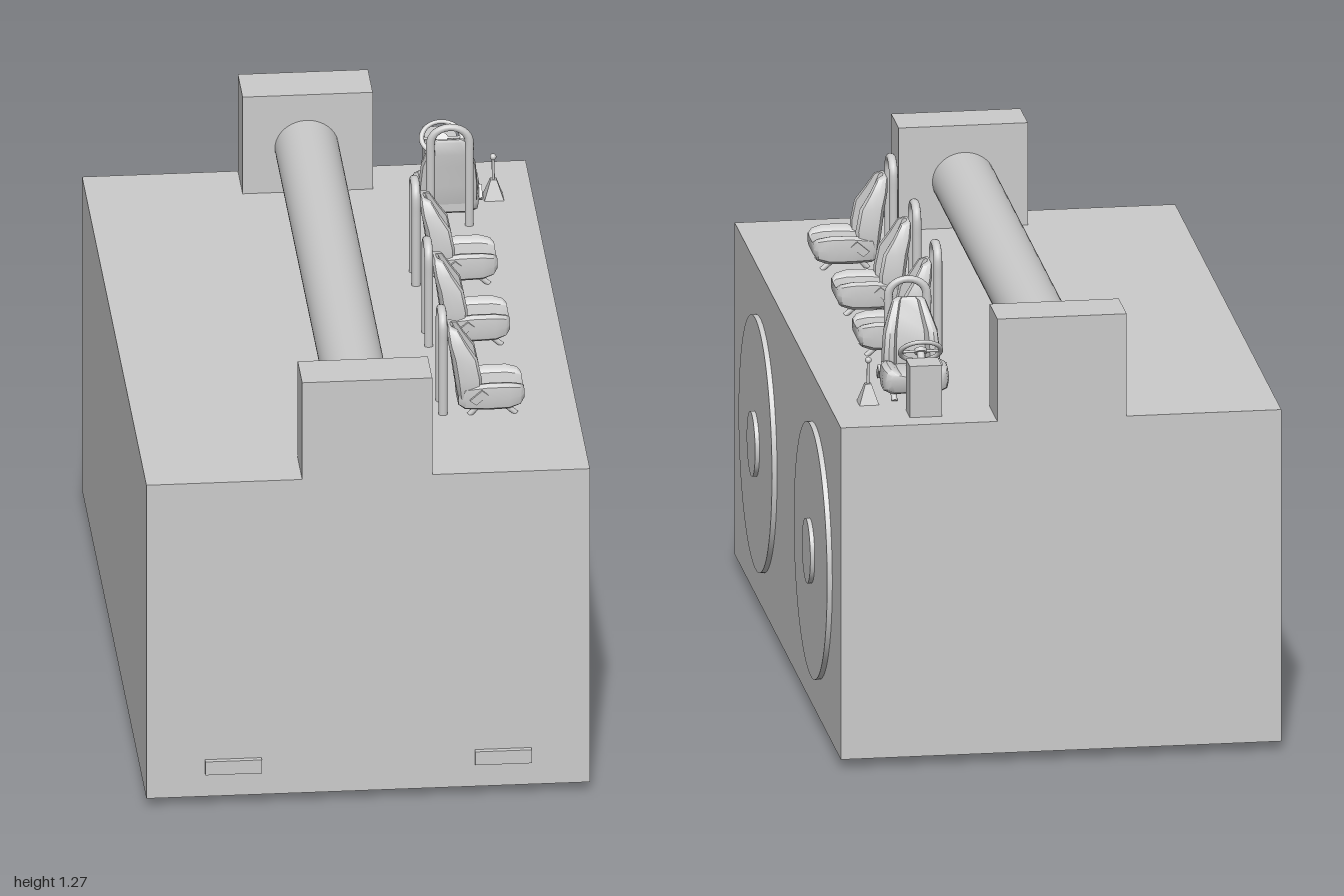
import * as THREE from 'three';
import { toCreasedNormals } from 'three/addons/utils/BufferGeometryUtils.js';

const mat = new THREE.MeshStandardMaterial({ color: 0xcccccc });
const FLOOR = 0.965; // deck height

function add(parent, name, geo, x = 0, y = 0, z = 0) {
  const m = new THREE.Mesh(geo, mat);
  m.name = name;
  m.position.set(x, y, z);
  parent.add(m);
  return m;
}

// Box given by its limits on each axis
function box(parent, name, [x0, x1], [y0, y1], [z0, z1]) {
  return add(parent, name, new THREE.BoxGeometry(x1 - x0, y1 - y0, z1 - z0),
    (x0 + x1) / 2, (y0 + y1) / 2, (z0 + z1) / 2);
}

// Closed skin over a list of rings, wound so that it faces outward
function loft(rings) {
  const n = rings[0].length;
  const pts = rings.flat();
  const tris = [];
  for (let r = 0; r < rings.length - 1; r++) {
    for (let i = 0; i < n; i++) {
      const a = r * n + i, b = r * n + (i + 1) % n;
      tris.push([a, b, b + n], [a, b + n, a + n]);
    }
  }
  [rings[0], rings[rings.length - 1]].forEach((ring, end) => {
    const c = ring.reduce((s, p) => s.add(p), new THREE.Vector3()).divideScalar(n);
    const start = end ? (rings.length - 1) * n : 0;
    for (let i = 0; i < n; i++) {
      const a = start + i, b = start + (i + 1) % n;
      tris.push(end ? [a, b, pts.length] : [b, a, pts.length]);
    }
    pts.push(c);
  });
  const mid = rings.flat().reduce((s, p) => s.add(p), new THREE.Vector3()).divideScalar(n * rings.length);
  const rel = pts.map(p => p.clone().sub(mid));
  const volume = tris.reduce((s, [a, b, c]) => s + rel[a].dot(rel[b].clone().cross(rel[c])), 0);
  if (volume < 0) tris.forEach(t => t.reverse());
  const geo = new THREE.BufferGeometry().setFromPoints(pts);
  geo.setIndex(tris.flat());
  return toCreasedNormals(geo, 0.7);
}

// Padded cross-section with side bolsters: [across, depth], dip is the middle's depth
function padSection(dip) {
  const half = [[0.7, 0], [0.95, 0.15], [1, 0.5], [0.95, 0.9], [0.8, 1], [0.62, 0.95], [0.5, dip]];
  return [...half, ...half.map(([s, d]) => [-s, d]).reverse()];
}

// Round bar between two points
function rod(parent, name, a, b, r) {
  const path = new THREE.LineCurve3(new THREE.Vector3(...a), new THREE.Vector3(...b));
  const p = path.getPoint(0.5);
  const m = add(parent, name, new THREE.CylinderGeometry(r, r, path.getLength(), 12), p.x, p.y, p.z);
  m.quaternion.setFromUnitVectors(new THREE.Vector3(0, 1, 0), path.getTangent(0));
  return m;
}

// Bucket seat facing +x, with its hoop at x = 0
function createSeat() {
  const seat = new THREE.Group();
  seat.name = 'seat';
  const backRows = [ // y, rear x, front x, half width
    [1.215, 0.014, 0.022, 0.028], [1.208, 0.011, 0.036, 0.038], [1.17, 0.013, 0.055, 0.05],
    [1.13, 0.02, 0.078, 0.062], [1.07, 0.027, 0.088, 0.067], [1.02, 0.033, 0.085, 0.067],
    [0.985, 0.043, 0.075, 0.056]];
  add(seat, 'backrest', loft(backRows.map(([y, x0, x1, w]) =>
    padSection(0.6).map(([s, d]) => new THREE.Vector3(x0 + (x1 - x0) * d, y, s * w)))));
  const cushionRows = [ // x, bottom y, top y, half width
    [0.035, 0.99, 1.03, 0.055], [0.05, 0.98, 1.05, 0.07], [0.1, 0.978, 1.06, 0.077],
    [0.15, 0.98, 1.06, 0.077], [0.175, 0.99, 1.053, 0.071], [0.184, 1.008, 1.042, 0.06]];
  add(seat, 'cushion', loft(cushionRows.map(([x, y0, y1, w]) =>
    padSection(0.82).map(([s, d]) => new THREE.Vector3(x, y0 + (y1 - y0) * d, s * w)))));

  // Grab hoop behind the backrest
  const pts = [[-0.044, FLOOR], [-0.044, 1.08], [-0.044, 1.17]];
  for (let i = 0; i <= 8; i++) {
    const a = Math.PI * (1 - i / 8);
    pts.push([0.044 * Math.cos(a), 1.216 + 0.044 * Math.sin(a)]);
  }
  pts.push([0.044, 1.17], [0.044, 1.08], [0.044, FLOOR]);
  const curve = new THREE.CatmullRomCurve3(pts.map(([z, y]) => new THREE.Vector3(0, y, z)));
  add(seat, 'grabHoop', new THREE.TubeGeometry(curve, 60, 0.01, 12));

  // Splayed legs and hinge brackets
  for (const s of [-1, 1]) {
    rod(seat, 'rearLeg', [0.095, 1.01, s * 0.05], [0.06, FLOOR, s * 0.05], 0.007);
    rod(seat, 'frontLeg', [0.13, 1.0, s * 0.05], [0.165, FLOOR, s * 0.05], 0.007);
    const hinge = box(seat, 'hingeBracket', [0.06, 0.1], [1.015, 1.035], [s * 0.074 - 0.005, s * 0.074 + 0.005]);
    hinge.rotation.z = 0.8;
  }
  return seat;
}

// Road wheel: turned profile laid on its side
function createWheel() {
  const half = [[0, 0.048], [0.045, 0.048], [0.05, 0.058], [0.07, 0.058], [0.075, 0.042],
    [0.105, 0.042], [0.112, 0.06], [0.125, 0.07], [0.155, 0.073], [0.178, 0.064], [0.194, 0.052], [0.2, 0.042]];
  const profile = [...half.map(([r, h]) => new THREE.Vector2(r, -h)),
    ...half.map(([r, h]) => new THREE.Vector2(r, h)).reverse()];
  const geo = toCreasedNormals(new THREE.LatheGeometry(profile, 48), 0.6);
  geo.rotateZ(-Math.PI / 2);
  geo.scale(1, 1, 0.88);
  return geo;
}

export function createModel() {
  const model = new THREE.Group();
  model.name = 'vehicle';

  // Hull: thick deck on four thin walls, open underneath
  const X = [-0.62, 0.59], Z = [-1, 0.985], t = 0.015, low = 0.025, ceil = 0.785;
  const hull = new THREE.Group();
  hull.name = 'hull';
  model.add(hull);
  box(hull, 'deck', X, [ceil, FLOOR], Z);
  box(hull, 'rightWall', [X[0], X[0] + t], [low, ceil], Z);
  box(hull, 'leftWall', [X[1] - t, X[1]], [low, ceil], Z);
  box(hull, 'backWall', [X[0] + t, X[1] - t], [low, ceil], [Z[0], Z[0] + t]);
  box(hull, 'frontWall', [X[0] + t, X[1] - t], [low, ceil], [Z[1] - t, Z[1]]);

  // End pillars carrying the long roller
  box(model, 'backPillar', [-0.195, 0.16], [FLOOR, 1.255], [-1, -0.853]);
  box(model, 'frontPillar', [-0.195, 0.16], [FLOOR, 1.255], [0.847, 0.985]);
  const roller = new THREE.CylinderGeometry(1, 1, 1.72, 64).rotateX(Math.PI / 2).scale(0.087, 0.081, 1);
  add(model, 'roller', roller, -0.02, 1.097, 0);

  // Front lamps
  box(model, 'rightLamp', [-0.46, -0.306], [0.095, 0.135], [0.98, 1]);
  box(model, 'leftLamp', [0.276, 0.43], [0.095, 0.135], [0.98, 1]);

  // Large side discs with hubs
  for (const z of [0.504, -0.528]) {
    const disc = (r, h) => new THREE.CylinderGeometry(r, r, h, 72).rotateZ(Math.PI / 2).scale(1, 1, 0.88);
    add(model, 'sideDisc', disc(0.355, 0.025), 0.5915, 0.48, z);
    add(model, 'discHub', disc(0.09, 0.035), 0.5985, 0.48, z);
  }

  // Road wheels
  const wheel = createWheel();
  for (const x of [-0.42, 0.387]) {
    for (const z of [0.655, -0.655]) add(model, 'wheel', wheel, x, 0.2, z);
  }

  // Three passenger seats facing the left side
  for (const z of [0.558, 0.118, -0.273]) {
    const seat = createSeat();
    seat.name = 'passengerSeat';
    seat.position.set(0.223, 0, z);
    seat.scale.x = 1.2;
    model.add(seat);
  }

  // Driver's seat facing the back end
  const driver = new THREE.Group();
  driver.name = 'driverSeat';
  const seat = createSeat();
  seat.rotation.y = Math.PI / 2;
  driver.add(seat);
  driver.position.set(0.348, 0, -0.6);
  driver.scale.x = 1.2;
  model.add(driver);

  // Console and steering wheel
  box(model, 'console', [0.302, 0.39], [FLOOR, 1.11], [-0.93, -0.853]);
  const steering = new THREE.Group();
  steering.name = 'steeringWheel';
  steering.position.set(0.346, 1.122, -0.829);
  steering.rotation.x = -0.72;
  steering.scale.x = 1.2;
  add(steering, 'rim', new THREE.TorusGeometry(0.046, 0.006, 12, 40));
  add(steering, 'hub', new THREE.CylinderGeometry(0.014, 0.014, 0.012, 20).rotateX(Math.PI / 2));
  for (const a of [0, Math.PI, -Math.PI / 2]) {
    rod(steering, 'spoke', [0, 0, 0], [0.046 * Math.cos(a), 0.046 * Math.sin(a), 0], 0.004);
  }
  rod(steering, 'column', [0, 0, 0], [0, 0, -0.06], 0.009);
  model.add(steering);

  // Gear lever on a tapered boot
  const boot = new THREE.CylinderGeometry(0.012, 0.038, 0.055, 4).rotateY(Math.PI / 4).toNonIndexed();
  boot.computeVertexNormals();
  add(model, 'leverBoot', boot, 0.482, FLOOR + 0.0275, -0.772);
  rod(model, 'lever', [0.482, 1.01, -0.772], [0.481, 1.085, -0.772], 0.004);
  add(model, 'leverKnob', new THREE.SphereGeometry(0.009, 16, 12), 0.481, 1.086, -0.772);

  return model;
}
